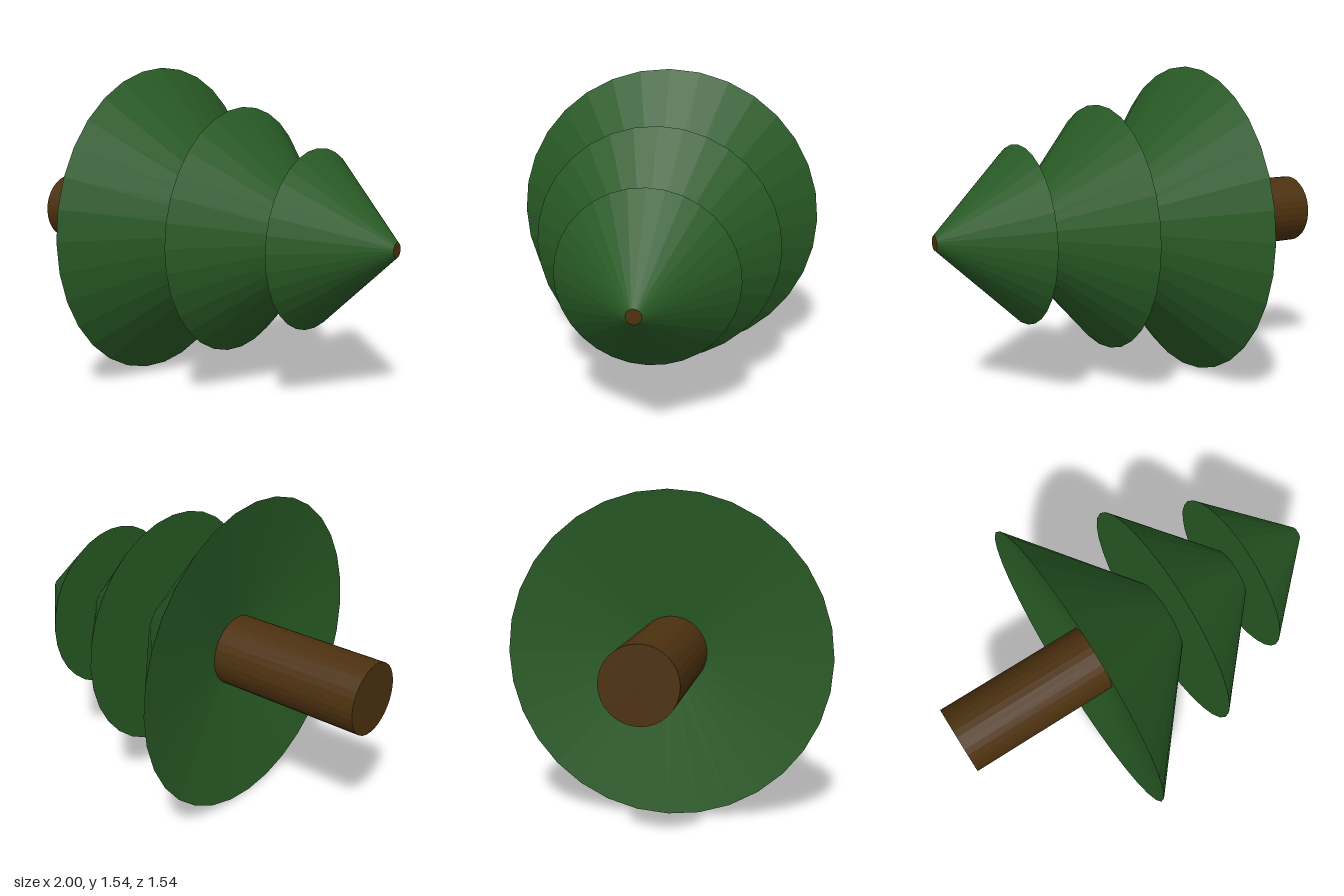
import * as THREE from 'three';

const SIDES = 32;
const AXIS_Y = 0.77;

export function createModel() {
  const tree = new THREE.Group();
  tree.name = 'fallenTree';
  const leaves = new THREE.MeshStandardMaterial({ color: 0x285a25, flatShading: true });
  const bark = new THREE.MeshStandardMaterial({ color: 0x4c310f, flatShading: true });

  // Turned part lying along x, from a profile of [x, radius] points
  function addTurned(name, profile, material) {
    const points = profile.map(([x, radius]) => new THREE.Vector2(radius, x));
    const geometry = new THREE.LatheGeometry(points, SIDES);
    geometry.rotateZ(-Math.PI / 2);
    const mesh = new THREE.Mesh(geometry, material);
    mesh.name = name;
    mesh.position.y = AXIS_Y;
    tree.add(mesh);
  }

  // Trunk, reaching into the hollow under the lowest tier
  addTurned('trunk', [[-1, 0], [-1, 0.172], [-0.238, 0.172]], bark);

  // Foliage: each tier starts with its underside and narrows to the next
  addTurned('lowerTier', [[-0.238, 0.172], [-0.332, 0.77], [0.163, 0.193]], leaves);
  addTurned('middleTier', [[0.163, 0.193], [0.163, 0.595], [0.584, 0.14]], leaves);
  addTurned('upperTier', [[0.584, 0.14], [0.584, 0.425], [1, 0.035]], leaves);

  // Bare wood showing at the tip
  addTurned('tip', [[1, 0.035], [1, 0]], bark);

  return tree;
}
